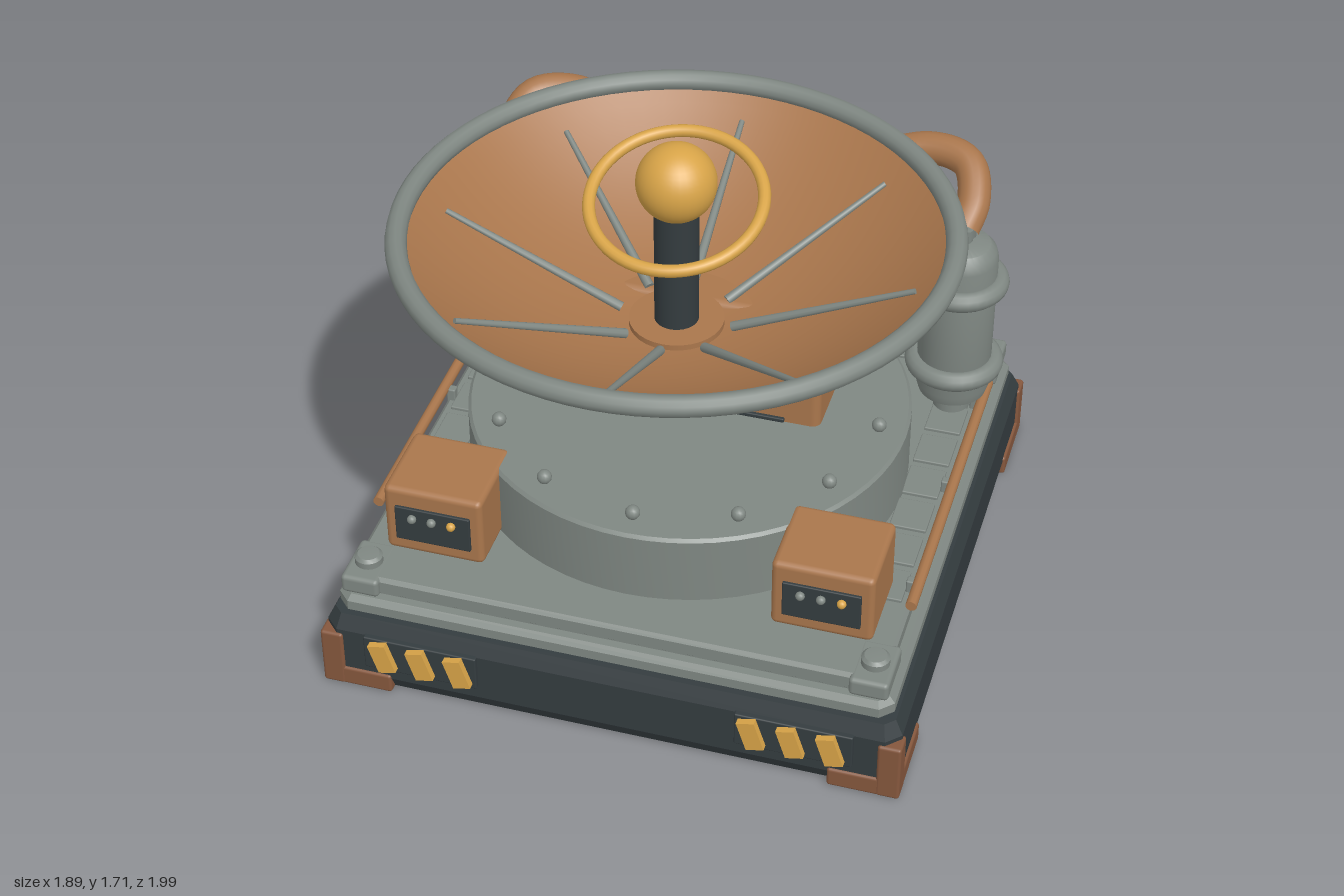
import * as THREE from 'three';
import { toCreasedNormals } from 'three/addons/utils/BufferGeometryUtils.js';
import { RoundedBoxGeometry } from 'three/addons/geometries/RoundedBoxGeometry.js';

const mat = (name, color) => {
  const m = new THREE.MeshStandardMaterial({ color });
  m.name = name;
  return m;
};

export function createModel() {
  const grey = mat('grey metal', 0x7f8782);
  const copper = mat('copper paint', 0xa9764c);
  const dark = mat('dark steel', 0x343c3f);
  const gold = mat('gold', 0xd8a448);
  const brown = mat('brown guard', 0x85573d);

  const model = new THREE.Group();
  model.name = 'dishStation';
  const CZ = -0.05;   // centre of the base
  const DZ = 0.1;     // centre of the dish

  const add = (name, geo, material, x = 0, y = 0, z = 0, parent = model) => {
    const m = new THREE.Mesh(geo, material);
    m.name = name;
    m.position.set(x, y, z);
    parent.add(m);
    return m;
  };
  const box = (w, h, d, r = 0.01) => new RoundedBoxGeometry(w, h, d, 2, r);
  const lathe = (pts, seg = 48) =>
    toCreasedNormals(new THREE.LatheGeometry(pts.map(p => new THREE.Vector2(...p)), seg), 0.6);
  const ring = (R, t, seg = 64) => new THREE.TorusGeometry(R, t, 12, seg).rotateX(Math.PI / 2);
  const rod = (a, b, r0, r1) => {
    const d = b.clone().sub(a), g = new THREE.CylinderGeometry(r1, r0, d.length(), 10);
    g.applyQuaternion(new THREE.Quaternion().setFromUnitVectors(new THREE.Vector3(0, 1, 0), d.clone().normalize()));
    return g.translate(...a.clone().add(b).multiplyScalar(0.5).toArray());
  };

  // Chamfered slab with cut corners, lying flat
  const slab = (w, d, h, bev, bevH = bev, cut = 0.03) => {
    const x = w / 2 - bev, z = d / 2 - bev, s = new THREE.Shape();
    [[-x + cut, -z], [x - cut, -z], [x, -z + cut], [x, z - cut], [x - cut, z], [-x + cut, z], [-x, z - cut], [-x, -z + cut]]
      .forEach(([a, b], i) => (i ? s.lineTo(a, b) : s.moveTo(a, b)));
    const g = new THREE.ExtrudeGeometry(s, {
      depth: h - 2 * bevH, bevelEnabled: true, bevelSize: bev, bevelThickness: bevH, bevelSegments: 1,
    });
    return g.translate(0, 0, bevH).rotateX(-Math.PI / 2);
  };

  // Stepped base
  add('base', slab(1.87, 1.88, 0.27, 0.025, 0.05), dark, 0, 0.005, CZ);
  add('lowerDeck', slab(1.8, 1.81, 0.07, 0.018), grey, 0, 0.27, CZ);
  add('deckGap', slab(1.7, 1.72, 0.03, 0.005), grey, 0, 0.33, CZ);
  add('upperDeck', slab(1.73, 1.75, 0.065, 0.012), grey, 0, 0.347, CZ);

  const boltGeo = new THREE.SphereGeometry(0.024, 12, 8);
  for (const sx of [-1, 1]) for (const sz of [-1, 1]) {
    // Corner guards: a post and two arms
    const guard = new THREE.Group();
    guard.name = 'cornerGuard';
    model.add(guard);
    add('guardPost', box(0.075, 0.21, 0.075), brown, sx * 0.907, 0.105, CZ + sz * 0.912, guard);
    add('guardArmAcross', box(0.23, 0.07, 0.05), brown, sx * 0.829, 0.035, CZ + sz * 0.923, guard);
    add('guardArmAlong', box(0.05, 0.07, 0.28), brown, sx * 0.919, 0.035, CZ + sz * 0.808, guard);
    // Deck corner blocks and bolts
    add('cornerBlock', box(0.125, 0.066, 0.19, 0.015), grey, sx * 0.82, 0.38, CZ + sz * 0.8, model);
    add('cornerBolt', lathe([[0, 0], [0.045, 0], [0.045, 0.025], [0.035, 0.035], [0, 0.038]], 20),
      grey, sx * 0.82, 0.41, CZ + sz * 0.8);
  }

  // Hazard panels with slanted stripes
  const stripe = new THREE.Shape();
  stripe.moveTo(-0.012, -0.058);
  stripe.lineTo(0.045, -0.045);
  stripe.lineTo(0.012, 0.058);
  stripe.lineTo(-0.045, 0.045);
  stripe.closePath();
  const stripeGeo = new THREE.ExtrudeGeometry(stripe, { depth: 0.025, bevelEnabled: false });
  for (const sx of [-1, 1]) {
    add('hazardPanel', box(0.375, 0.125, 0.03, 0.005), dark, sx * 0.607, 0.167, 0.892);
    for (const k of [-1, 0, 1]) add('hazardStripe', stripeGeo, gold, sx * 0.602 + k * 0.125, 0.17, 0.905);
  }

  // Drum and its ring of bolts
  add('drum', lathe([[0, 0.4], [0.72, 0.4], [0.72, 0.645], [0.71, 0.655], [0, 0.655]], 64), grey, 0, 0, CZ);
  for (let i = 0; i < 12; i++) {
    const a = i * Math.PI / 6;
    add('drumBolt', boltGeo, grey, 0.63 * Math.cos(a), 0.672, CZ + 0.63 * Math.sin(a));
  }

  // Housing
  add('housing', box(0.89, 0.46, 0.66, 0.03), copper, 0, 0.85, -0.33);
  add('housingSlot', box(0.66, 0.015, 0.02, 0.004), dark, 0, 0.665, 0.002);
  for (const sx of [-1, 1]) add('housingBolt', boltGeo, grey, sx * 0.31, 1.0, 0.008);

  const V = (x, y, z) => new THREE.Vector3(x, y, z);
  for (const sx of [-1, 1]) {
    // Control box with panel and buttons
    const ctl = new THREE.Group();
    ctl.name = 'controlBox';
    ctl.position.set(sx * 0.628, 0, 0);
    model.add(ctl);
    add('controlCase', box(0.325, 0.25, 0.29, 0.02), copper, 0, 0.535, 0.525, ctl);
    add('controlPanel', box(0.248, 0.13, 0.02, 0.004), dark, 0, 0.53, 0.67, ctl);
    [-1, 0, 1].forEach(k => add('button', new THREE.SphereGeometry(0.015, 12, 8),
      k === 1 ? gold : grey, k * 0.065, 0.56, 0.685, ctl));

    // Tank with two bands and a neck
    const tank = new THREE.Group();
    tank.name = 'tank';
    tank.position.set(sx * 0.77, 0, -0.54);
    model.add(tank);
    add('tankBody', lathe([[0, 0.47], [0.085, 0.475], [0.113, 0.495], [0.123, 0.53], [0.123, 1.03],
      [0.115, 1.06], [0.095, 1.083], [0.05, 1.095], [0, 1.095]], 32), grey, 0, 0, 0, tank);
    add('tankFoot', new THREE.CylinderGeometry(0.06, 0.06, 0.09, 20), grey, 0, 0.44, 0, tank);
    for (const y of [0.61, 0.935]) add('tankBand', ring(0.13, 0.034, 32), grey, 0, y, 0, tank);
    add('tankNeck', new THREE.CylinderGeometry(0.036, 0.036, 0.05, 12), grey, 0, 1.11, 0, tank);
    add('tankCollar', new THREE.CylinderGeometry(0.045, 0.045, 0.035, 8), grey, 0, 1.13, 0, tank);

    // Hose from the tank over to the back of the housing
    const path = new THREE.CatmullRomCurve3([
      V(sx * 0.77, 1.13, -0.54), V(sx * 0.785, 1.19, -0.62), V(sx * 0.74, 1.26, -0.73),
      V(sx * 0.6, 1.265, -0.775), V(sx * 0.4, 1.2, -0.735), V(sx * 0.2, 1.12, -0.67), V(0, 1.075, -0.6)]);
    add('hose', new THREE.TubeGeometry(path, 48, 0.054, 16), copper);

    // Side rail with brackets
    add('sideRail', rod(V(sx * 0.875, 0.453, 0.52), V(sx * 0.875, 0.453, -0.64), 0.018, 0.018), copper);
    for (const z of [0.4, -0.1, -0.55])
      add('railBracket', box(0.03, 0.06, 0.03, 0.005), grey, sx * 0.85, 0.425, z);

    // Tread plates on the deck
    for (let i = 0; i < 7; i++)
      add('treadPlate', box(0.12, 0.016, 0.14, 0.004), grey, sx * 0.775, 0.415, -0.62 + i * 0.17);
    for (const x of [0.42, 0.62]) add('rearPlate', box(0.17, 0.016, 0.12, 0.004), grey, sx * x, 0.415, -0.8);
  }

  // Dish shell
  const bowl = (r, y0) => y0 + 0.36 * (r / 0.86) ** 2;
  const profile = [];
  for (let i = 0; i <= 14; i++) profile.push([0.86 * i / 14, bowl(0.86 * i / 14, 1.025)]);
  for (let i = 14; i >= 0; i--) profile.push([0.86 * i / 14, bowl(0.86 * i / 14, 1.05)]);
  const dish = new THREE.Group();
  dish.name = 'dish';
  dish.position.z = DZ;
  model.add(dish);
  add('dishBowl', lathe(profile, 72), copper, 0, 0, 0, dish);
  add('dishRim', ring(0.855, 0.034, 80), grey, 0, 1.408, 0, dish);
  for (const r of [0.33, 0.47, 0.632]) add('dishBand', ring(r, 0.011), dark, 0, bowl(r, 1.025), 0, dish);
  add('dishHub', new THREE.CylinderGeometry(0.15, 0.15, 0.055, 32), copper, 0, 1.053, 0, dish);

  // Eight ribs inside, and their clips outside
  for (let i = 0; i < 8; i++) {
    const a = i * Math.PI / 4, at = (r, y) => V(r * Math.cos(a), y, r * Math.sin(a));
    add('dishRib', rod(at(0.18, 1.08), at(0.75, 1.335), 0.016, 0.009), grey, 0, 0, 0, dish);
    add('ribClip', rod(at(0.78, 1.325), at(0.83, 1.365), 0.008, 0.012), grey, 0, 0, 0, dish);
  }

  // Feed mast, ball and tilted halo
  add('mast', new THREE.CylinderGeometry(0.07, 0.07, 0.48, 32), dark, 0, 1.28, 0, dish);
  add('feedBall', new THREE.SphereGeometry(0.125, 32, 24), gold, 0, 1.587, 0, dish);
  add('halo', ring(0.268, 0.02), gold, 0, 1.523, 0, dish).rotation.x = 0.32;

  return model;
}
